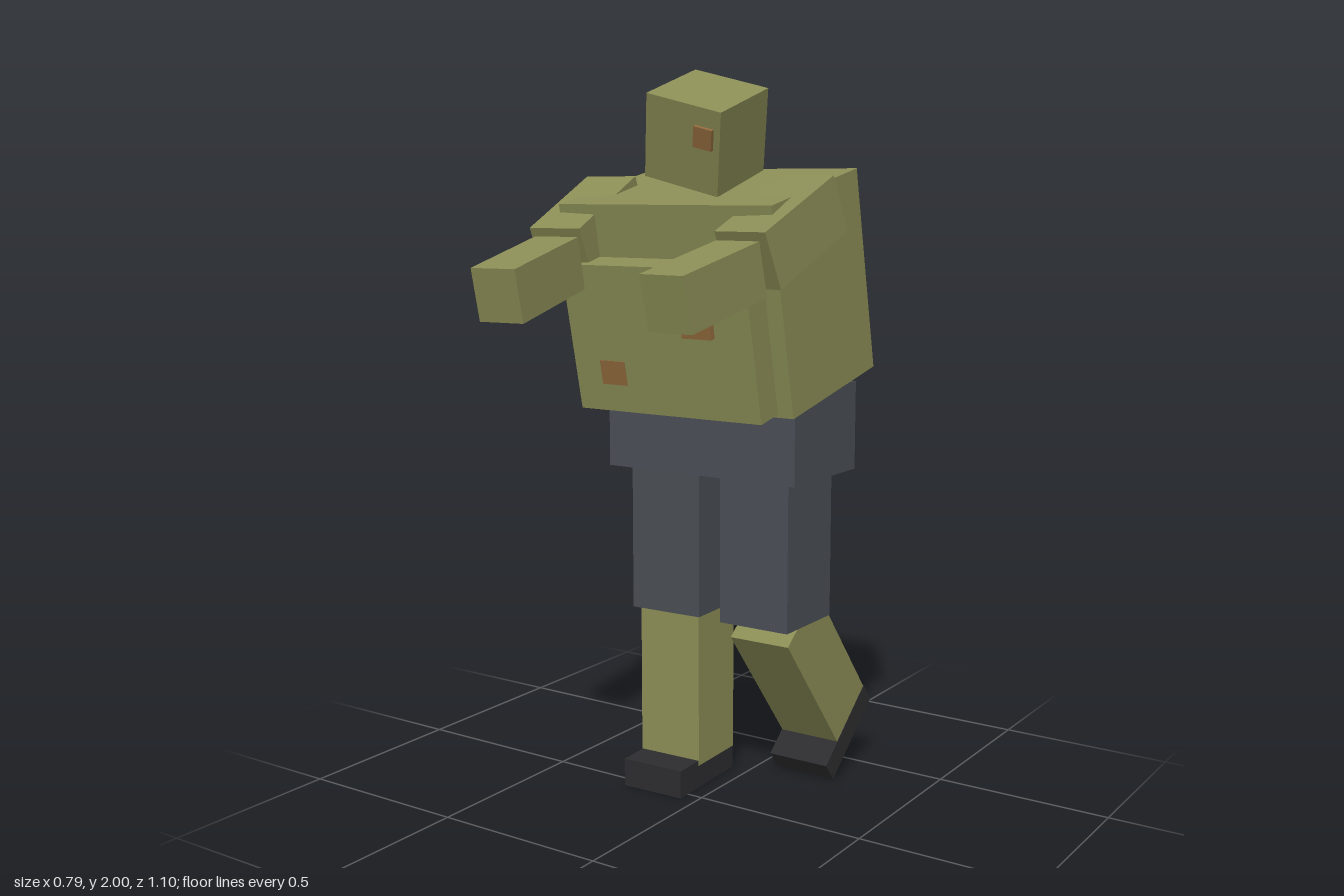
import * as THREE from 'three';

export function createModel() {
  const model = new THREE.Group();
  model.name = 'blockyFigure';

  const mat = (name, color) => {
    const m = new THREE.MeshStandardMaterial({ color });
    m.name = name;
    return m;
  };
  const skin = mat('olive', 0x8a8c55);
  const cloth = mat('slate', 0x494d54);
  const shoe = mat('charcoal', 0x2c2c2e);
  const rust = mat('rust', 0x90693c);

  const box = (parent, name, material, size, pos, rot = [0, 0, 0]) => {
    const mesh = new THREE.Mesh(new THREE.BoxGeometry(...size), material);
    mesh.name = name;
    mesh.position.set(...pos);
    mesh.rotation.set(...rot, 'YXZ');
    parent.add(mesh);
    return mesh;
  };
  const group = (name, pos, rot) => {
    const g = new THREE.Group();
    g.name = name;
    g.position.set(...pos);
    g.rotation.set(...rot);
    model.add(g);
    return g;
  };

  // Torso leaning forward, with belly plate, back bar and wounds
  const torso = group('torso', [0, 1.43, -0.085], [0.213, 0, 0]);
  box(torso, 'chest', skin, [0.66, 0.55, 0.443], [0, 0, 0]);
  box(torso, 'belly', skin, [0.57, 0.4, 0.12], [0, -0.066, 0.244]);
  box(torso, 'backBar', cloth, [0.6, 0.105, 0.045], [0, 0.2, -0.222]);
  box(torso, 'chestPatch', rust, [0.09, 0.09, 0.03], [0.13, 0, 0.305]);
  box(torso, 'bellyPatch', rust, [0.08, 0.066, 0.01], [-0.16, -0.158, 0.301]);

  // Tilted head with one eye
  const head = group('head', [0.0345, 1.8365, 0.0305], [0.317, -0.027, -0.25]);
  box(head, 'skull', skin, [0.225, 0.225, 0.225], [0, 0, 0]);
  box(head, 'eye', rust, [0.055, 0.055, 0.02], [0.066, 0.036, 0.113]);

  // Arms reaching forward and slightly inward
  for (const [side, s] of [['left', 1], ['right', -1]]) {
    box(model, side + 'UpperArm', skin, [0.155, 0.155, 0.315], [s * 0.302, 1.588, 0.09], [0.443, -s * 0.094, 0]);
    box(model, side + 'Forearm', skin, [0.132, 0.14, 0.293], [s * 0.268, 1.466, 0.389], [0.24, -s * 0.095, 0]);
  }

  // Hips
  box(model, 'pelvis', cloth, [0.6, 0.245, 0.33], [0, 1.0475, -0.15]);

  // Right leg, standing straight and turned slightly
  const rightLeg = group('rightLeg', [-0.15, 0, -0.148], [0, 0.04, 0]);
  box(rightLeg, 'rightThigh', cloth, [0.22, 0.43, 0.226], [0, 0.725, 0]);
  box(rightLeg, 'rightShin', skin, [0.193, 0.465, 0.194], [0.001, 0.2975, -0.003]);
  box(rightLeg, 'rightShoe', shoe, [0.19, 0.08, 0.288], [0.002, 0.04, 0.046]);

  // Left leg, bent back at the knee
  box(model, 'leftThigh', cloth, [0.215, 0.43, 0.234], [0.1475, 0.725, -0.148]);
  box(model, 'leftShin', skin, [0.185, 0.465, 0.2], [0.1475, 0.344, -0.287], [0.68, 0, 0]);
  box(model, 'leftShoe', shoe, [0.188, 0.068, 0.288], [0.1475, 0.118, -0.416], [0.68, 0, 0]);

  return model;
}
